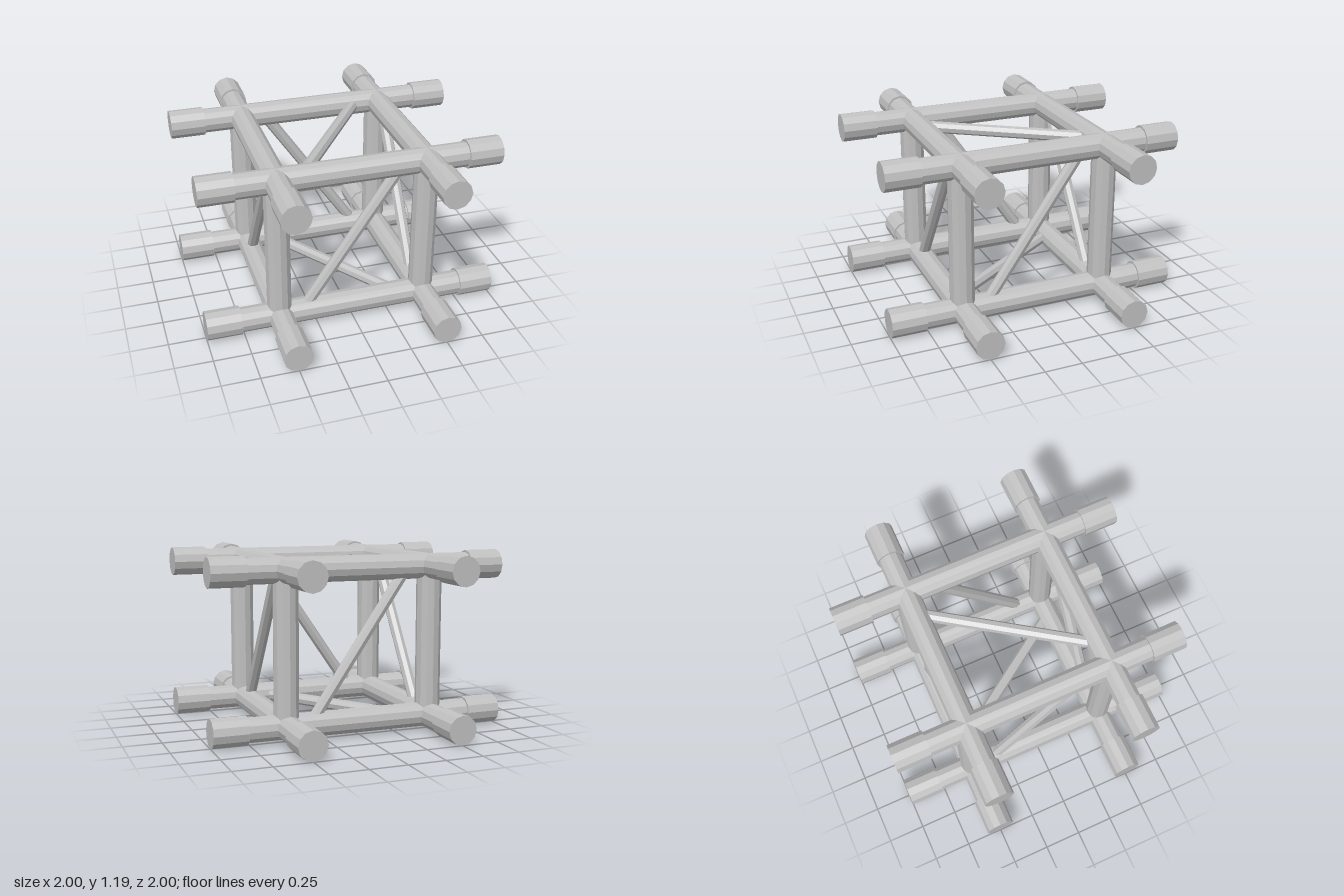
import * as THREE from 'three';

const H = 0.5;          // half spacing between tube axes
const MID = 0.597;      // height of the cube centre
const TUBE_R = 0.083, SLEEVE_R = 0.097, BRACE_R = 0.04;

export function createModel() {
  const group = new THREE.Group();
  const steel = new THREE.MeshStandardMaterial({ color: 0xc0c0c0, flatShading: true });
  steel.name = 'brushedSteel';

  // Round bar between two points, given relative to the cube centre
  function bar(name, a, b, radius, sides) {
    const from = new THREE.Vector3(...a), to = new THREE.Vector3(...b);
    const dir = to.clone().sub(from);
    const mesh = new THREE.Mesh(new THREE.CylinderGeometry(radius, radius, dir.length(), sides), steel);
    mesh.name = name;
    mesh.position.copy(from).add(to).multiplyScalar(0.5);
    mesh.position.y += MID;
    mesh.quaternion.setFromUnitVectors(new THREE.Vector3(0, 1, 0), dir.normalize());
    group.add(mesh);
  }

  for (const u of [-H, H]) {
    for (const v of [-H, H]) {
      // Upright post
      bar('post', [u, -H, v], [u, H, v], TUBE_R, 12);
      // Horizontal tubes running both ways
      bar('crossTube', [-0.8, u, v], [0.8, u, v], TUBE_R, 12);
      bar('depthTube', [v, u, -0.8], [v, u, 0.8], TUBE_R, 12);
      // Wider coupling sleeves on the free ends
      for (const s of [-1, 1]) {
        bar('sideSleeve', [s * 0.768, u, v], [s, u, v], SLEEVE_R, 12);
        bar('endSleeve', [v, u, s * 0.768], [v, u, s], SLEEVE_R, 12);
      }
    }
  }

  // One diagonal brace on each face of the cube
  const p = 0.306, q = 0.45;
  for (const s of [-1, 1]) {
    bar('frontBackBrace', [-s * p, -q, s * H], [s * p, q, s * H], BRACE_R, 8);
    bar('sideBrace', [s * H, -q, s * p], [s * H, q, -s * p], BRACE_R, 8);
    bar('levelBrace', [-p, s * H, s * q], [p, s * H, -s * q], BRACE_R, 8);
  }
  return group;
}
